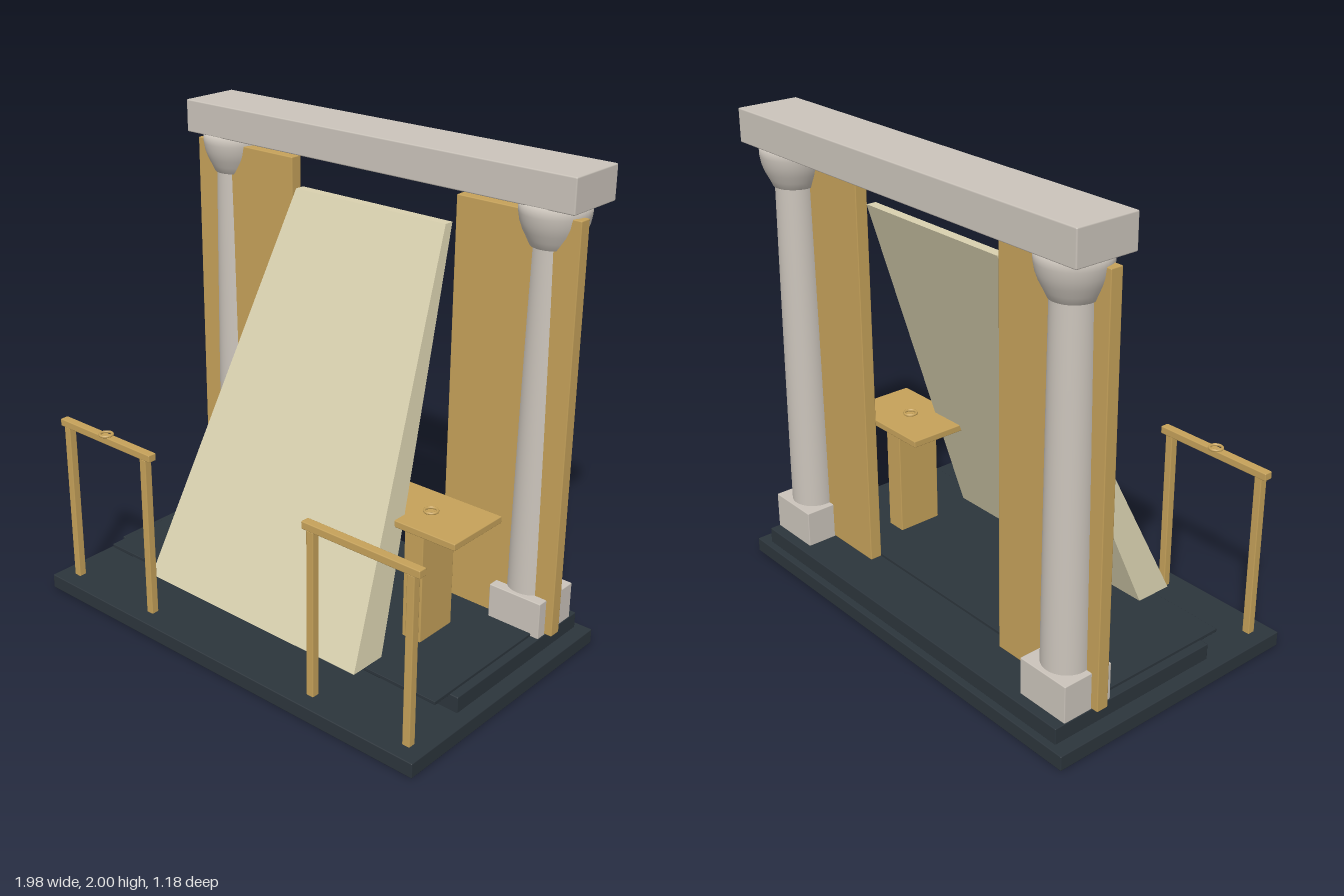
import * as THREE from 'three';
import { RoundedBoxGeometry } from 'three/addons/geometries/RoundedBoxGeometry.js';

const material = (name, color) => {
  const m = new THREE.MeshStandardMaterial({ color });
  m.name = name;
  return m;
};

export function createModel() {
  const model = new THREE.Group();
  model.name = 'columnedEntrance';
  const stone = material('pale stone', 0xcbc4bb);
  const gold = material('golden wood', 0xc6a25a);
  const dark = material('dark slate', 0x2c353c);
  const cream = material('cream', 0xd9d1af);

  const add = (name, geometry, mat, x = 0, y = 0, z = 0) => {
    const mesh = new THREE.Mesh(geometry, mat);
    mesh.name = name;
    mesh.position.set(x, y, z);
    model.add(mesh);
    return mesh;
  };
  // Softly bevelled box given by its extents on each axis
  const box = (name, mat, [x0, x1], [y0, y1], [z0, z1], bevel = 0.004) =>
    add(name, new RoundedBoxGeometry(x1 - x0, y1 - y0, z1 - z0, 1, bevel), mat,
      (x0 + x1) / 2, (y0 + y1) / 2, (z0 + z1) / 2);
  const ring = (name, x, y, z, flat = true) => {
    const mesh = add(name, new THREE.TorusGeometry(0.026, 0.006, 8, 24), gold, x, y, z);
    if (flat) mesh.rotation.x = Math.PI / 2;
  };

  // Stepped floor
  box('basePlinth', dark, [-0.99, 0.99], [0, 0.063], [-0.59, 0.59]);
  box('upperStep', dark, [-0.927, 0.927], [0.06, 0.131], [-0.56, 0.24]);
  box('floorMat', dark, [-0.89, 0.89], [0.128, 0.143], [-0.33, 0.33], 0.002);

  // Columns, door panels and railings, mirrored in pairs
  const shaft = [[0.095, 0.28], [0.094, 0.5], [0.09, 0.95], [0.085, 1.4], [0.081, 1.71]];
  const capital = [[0.081, 1.70], [0.088, 1.70], [0.101, 1.728], [0.116, 1.757], [0.128, 1.79],
    [0.134, 1.825], [0.135, 1.865], [0, 1.865]];
  const lathe = (points) => new THREE.LatheGeometry(points.map(([r, y]) => new THREE.Vector2(r, y)), 40);
  for (const s of [-1, 1]) {
    const side = s > 0 ? 'left' : 'right';
    const span = (a, b) => (s > 0 ? [a, b] : [-b, -a]);
    box(side + 'ColumnBase', stone, span(0.685, 0.925), [0.129, 0.288], [-0.515, -0.287]);
    add(side + 'ColumnShaft', lathe(shaft), stone, s * 0.805, 0, -0.4);
    add(side + 'ColumnCapital', lathe(capital), stone, s * 0.805, 0, -0.4);
    box(side + 'DoorPanel', gold, span(0.415, 0.958), [0.134, 1.83], [-0.385, -0.332]);
    box(side + 'Handrail', gold, span(0.404, 0.946), [0.763, 0.795], [0.484, 0.522]);
    for (const x of [0.445, 0.907])
      box(side + 'RailPost', gold, span(x - 0.017, x + 0.017), [0.06, 0.766], [0.488, 0.522]);
  }

  // Lintel across the columns
  box('lintel', stone, [-0.963, 0.963], [1.862, 2], [-0.542, -0.272], 0.006);

  // Leaning slab: a box narrowed and thinned towards its top
  const slab = new THREE.BoxGeometry(1, 1, 1);
  const p = slab.attributes.position;
  for (let i = 0; i < p.count; i++) {
    const top = p.getY(i) > 0, front = p.getZ(i) > 0;
    const z = top ? (front ? -0.318 : -0.36) : (front ? 0.4 : 0.237);
    p.setXYZ(i, Math.sign(p.getX(i)) * (top ? 0.38 : 0.56), top ? 1.71 : 0.147, z);
  }
  slab.computeVertexNormals();
  add('leaningSlab', slab, cream);

  // Side table
  box('tablePedestal', gold, [0.515, 0.605], [0.14, 0.64], [-0.145, 0.055]);
  box('tableTop', gold, [0.335, 0.785], [0.635, 0.664], [-0.198, 0.102]);

  // Small rings
  ring('tableRing', 0.56, 0.668, -0.048);
  ring('railRing', -0.68, 0.798, 0.503);
  ring('floorRing', 0, 0.142, 0.215);
  ring('doorRing', -0.475, 0.953, -0.328, false);

  return model;
}
